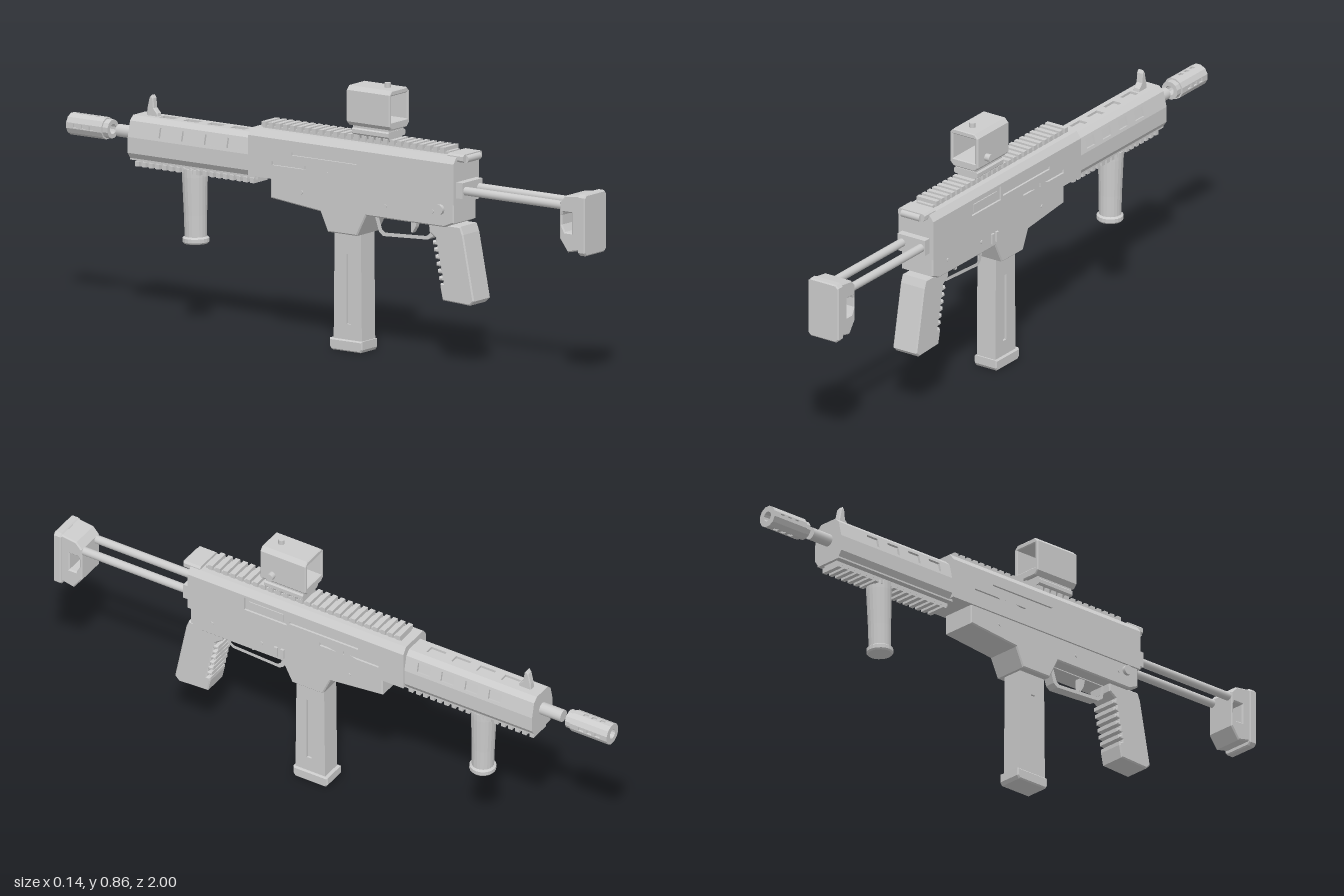
import * as THREE from 'three';

const mat = new THREE.MeshStandardMaterial({ color: 0xcccccc });

export function createModel() {
  const root = new THREE.Group();

  const add = (name, geo, parent = root) => {
    const m = new THREE.Mesh(geo, mat);
    m.name = name;
    parent.add(m);
    return m;
  };
  const group = (name) => {
    const g = new THREE.Group();
    g.name = name;
    root.add(g);
    return g;
  };
  const box = (name, x0, x1, y0, y1, z0, z1, parent) =>
    add(name, new THREE.BoxGeometry(x1 - x0, y1 - y0, z1 - z0)
      .translate((x0 + x1) / 2, (y0 + y1) / 2, (z0 + z1) / 2), parent);
  const makeShape = (pts, holes = []) => {
    const v = (l) => l.map((p) => new THREE.Vector2(p[0], p[1]));
    const s = new THREE.Shape(v(pts));
    s.holes = holes.map((h) => new THREE.Path(v(h)));
    return s;
  };
  const rect = (a0, a1, b0, b1) => [[a0, b0], [a1, b0], [a1, b1], [a0, b1]];
  const extrude = (pts, holes, depth, bevel = 0) =>
    new THREE.ExtrudeGeometry(makeShape(pts, holes), {
      depth: depth - 2 * bevel, bevelEnabled: bevel > 0, bevelSize: bevel,
      bevelThickness: bevel, bevelOffset: -bevel, bevelSegments: 1, curveSegments: 8,
    }).translate(0, 0, bevel);
  // Cross-section [x, y] swept from z0 to z1
  const alongZ = (pts, z0, z1, holes = [], bevel = 0) =>
    extrude(pts, holes, z1 - z0, bevel).translate(0, 0, z0);
  // Side profile [z, y] of a given width, centred on x
  const sideProfile = (pts, width, holes = [], bevel = 0) =>
    extrude(pts, holes, width, bevel).translate(0, 0, -width / 2).rotateY(-Math.PI / 2);
  const rod = (r, z0, z1, x, y, seg = 16) =>
    new THREE.CylinderGeometry(r, r, z1 - z0, seg).rotateX(Math.PI / 2).translate(x, y, (z0 + z1) / 2);
  // Symmetric section from its right half, bottom to top (counterclockwise)
  const mirrored = (half) => [...half, ...half.slice().reverse().map(([x, y]) => [-x, y])];
  const chamfered = (hx, y0, y1, c) =>
    mirrored([[hx - c, y0], [hx, y0 + c], [hx, y1 - c], [hx - c, y1]]);

  // Hollow-walled sweep: one plate per section edge, windows cut by edge index.
  // A window is [centre along edge, centre z, size along edge, size z].
  const shell = (name, pts, z0, z1, t, windows, bore = []) => {
    const g = group(name), cap = 0.01;
    const ys = pts.map((p) => p[1]);
    const hy = (Math.max(...ys) - Math.min(...ys)) / 2, cy = Math.min(...ys) + hy;
    const hx = Math.max(...pts.map((p) => p[0]));
    const inner = pts.map(([x, y]) => [x * (hx - t) / hx, cy + (y - cy) * (hy - t) / hy]);
    add(name + 'Core', alongZ(inner, z0 + cap, z1 - cap, bore), g);
    add(name + 'FrontCap', alongZ(pts, z0, z0 + cap, bore), g);
    add(name + 'RearCap', alongZ(pts, z1 - cap, z1, bore), g);
    pts.forEach((a, i) => {
      const b = pts[(i + 1) % pts.length];
      const u = new THREE.Vector3(b[0] - a[0], b[1] - a[1], 0), len = u.length();
      u.normalize();
      const w = new THREE.Vector3(0, 0, 1), n = u.clone().cross(w);
      const holes = (windows[i] || []).map(([c, z, su, sz]) =>
        rect(c - su / 2, c + su / 2, z - sz / 2, z + sz / 2));
      const geo = extrude(rect(0, len, z0 + cap, z1 - cap), holes, t).translate(0, 0, -t);
      geo.applyMatrix4(new THREE.Matrix4().makeBasis(u, w, n).setPosition(a[0], a[1], 0));
      add(name + 'Panel', geo, g);
    });
    return g;
  };

  // Upper receiver with ejection port on the +x side and grooves on both sides
  const grooves = (f) => [[f(0.565), -0.02, 0.012, 0.09], [f(0.565), -0.125, 0.012, 0.13], [f(0.603), 0.01, 0.01, 0.25]];
  const up = (y) => y - 0.515, down = (y) => 0.643 - y;
  shell('upperReceiver', mirrored([[0.066, 0.515], [0.066, 0.643], [0.05, 0.664]]), -0.28, 0.505, 0.007, {
    0: [[up(0.612), 0.222, 0.046, 0.155], ...grooves(up)],
    4: grooves(down),
  });
  box('bolt', 0.04, 0.062, 0.596, 0.622, 0.16, 0.285);

  // Lower receiver with magazine well
  add('lowerReceiver', sideProfile([[0.5, 0.52], [0.5, 0.455], [0.465, 0.44], [0.165, 0.44], [0.13, 0.372],
    [0.018, 0.372], [-0.01, 0.433], [-0.2, 0.453], [-0.2, 0.52]], 0.12, [], 0.004));
  for (const z of [0.185, 0.162]) box('magazineRelease', 0.055, 0.067, 0.455, 0.488, z - 0.006, z + 0.006);
  add('selectorKnob', new THREE.CylinderGeometry(0.016, 0.016, 0.016, 16).rotateZ(Math.PI / 2).translate(-0.063, 0.495, 0.45));
  for (const x of [-0.06, 0.06]) for (const [z, y] of [[0.42, 0.485], [0.24, 0.48], [-0.08, 0.485]])
    add('receiverPin', new THREE.CylinderGeometry(0.006, 0.006, 0.006, 10).rotateZ(Math.PI / 2).translate(x, y, z));

  // Pistol grip with a notched front edge
  const front = [];
  for (let i = 0; i < 7; i++) {
    const y = 0.245 + i * 0.022, z = 0.437 - (y - 0.245) * 0.22;
    front.push([z, y], [z, y + 0.012], [z + 0.012, y + 0.013], [z + 0.012, y + 0.021]);
  }
  add('pistolGrip', sideProfile([[0.55, 0.2], [0.446, 0.205], ...front, [0.395, 0.415], [0.393, 0.445],
    [0.515, 0.445], [0.525, 0.42], [0.566, 0.215]], 0.09, [], 0.004));

  // Trigger and guard
  add('triggerGuard', sideProfile(
    [[0.4, 0.445], [0.39, 0.395], [0.37, 0.383], [0.2, 0.374], [0.185, 0.385], [0.165, 0.445]], 0.035,
    [[[0.385, 0.437], [0.378, 0.402], [0.365, 0.394], [0.208, 0.386], [0.197, 0.394], [0.182, 0.437]]]));
  add('trigger', sideProfile([[0.325, 0.445], [0.318, 0.415], [0.305, 0.395], [0.3, 0.398], [0.302, 0.445]], 0.018));

  // Magazine with a recessed slot in each side
  const slot = rect(0.073, 0.091, 0.085, 0.305);
  const magProfile = [[0.128, 0.4], [0.132, 0.03], [0.024, 0.03], [0.028, 0.4]];
  const mag = group('magazine');
  add('magazineBody', sideProfile(magProfile, 0.056), mag);
  for (const s of [-1, 1])
    add('magazineSide', sideProfile(magProfile, 0.01, [slot]).translate(s * 0.03, 0, 0), mag);
  add('magazineBase', sideProfile([[0.13, 0], [0.137, 0.01], [0.137, 0.036], [0.012, 0.036], [0.012, 0.01], [0.02, 0]],
    0.084, [], 0.004), mag);

  // Handguard with windows in its top and upper side faces
  const row = (c, s) => [-0.347, -0.433, -0.52, -0.606].map((z) => [c, z, s, 0.046]);
  shell('handguard', mirrored([[0.045, 0.508], [0.06, 0.53], [0.06, 0.58], [0.048, 0.63], [0.032, 0.645]]),
    -0.745, -0.28, 0.008, {
      2: row(0.0257, 0.032), 6: row(0.0257, 0.032),
      4: [-0.36, -0.45, -0.54, -0.63].map((z) => [0.032, z, 0.03, 0.055]),
    });

  // Toothed rails above the receiver and below the handguard
  const rail = (name, y, dir, z0, z1, hx, count) => {
    const g = group(name), step = (z1 - z0) / count;
    const ya = Math.min(y, y + dir * 0.013), yb = ya + 0.013;
    box(name + 'Base', -hx + 0.008, hx - 0.008, ya, yb, z0, z1, g);
    for (let i = 0; i < count; i++) {
      const z = z0 + i * step, tooth = y + dir * 0.009, tip = y + dir * 0.025;
      box(name + 'Tooth', -hx, hx, Math.min(tooth, tip), Math.max(tooth, tip), z, z + step * 0.58, g);
    }
  };
  rail('topRail', 0.66, 1, -0.25, 0.46, 0.038, 26);
  rail('lowerRail', 0.51, -1, -0.735, -0.27, 0.036, 18);
  box('lowerRailPlate', -0.048, 0.048, 0.507, 0.522, -0.745, -0.268);

  // Rear sight block and front sight blade
  add('rearSight', alongZ(chamfered(0.05, 0.648, 0.673, 0.006), 0.47, 0.53));
  add('rearSightPin', new THREE.CylinderGeometry(0.012, 0.012, 0.07, 12).rotateZ(Math.PI / 2).translate(0, 0.658, 0.528));
  add('frontSight', sideProfile([[-0.665, 0.64], [-0.668, 0.655], [-0.682, 0.67], [-0.685, 0.7], [-0.692, 0.71],
    [-0.7, 0.7], [-0.708, 0.665], [-0.71, 0.64]], 0.022, [], 0.003));

  // Open box sight on its clamp
  const sight = group('opticSight');
  add('sightHood', alongZ(chamfered(0.053, 0.715, 0.84, 0.013), 0.085, 0.25, [rect(-0.041, 0.041, 0.741, 0.823)], 0.003), sight);
  box('sightNeck', -0.038, 0.038, 0.705, 0.718, 0.1, 0.238, sight);
  add('sightClamp', alongZ(chamfered(0.044, 0.688, 0.708, 0.004), 0.1, 0.24), sight);
  add('sightFoot', alongZ(mirrored([[0.025, 0.67], [0.036, 0.69]]), 0.105, 0.235), sight);
  add('topKnob', new THREE.CylinderGeometry(0.01, 0.01, 0.02, 12).translate(0, 0.845, 0.205), sight);
  add('sideKnob', new THREE.CylinderGeometry(0.012, 0.012, 0.022, 12).rotateZ(Math.PI / 2).translate(0.06, 0.752, 0.205), sight);

  // Foregrip
  const gripLine = [[0, 0], [0.038, 0], [0.042, 0.005], [0.042, 0.017], [0.035, 0.022], [0.036, 0.09],
    [0.04, 0.21], [0.04, 0.235], [0, 0.235]].map((p) => new THREE.Vector2(...p));
  const foregrip = add('foregrip', new THREE.LatheGeometry(gripLine, 20).toNonIndexed());
  foregrip.geometry.computeVertexNormals();
  foregrip.position.set(0, 0.263, -0.528);
  foregrip.rotation.x = -0.02;

  // Barrel and ported muzzle
  add('barrel', rod(0.02, -0.822, -0.73, 0, 0.582));
  const ring = (r, n) => Array.from({ length: n }, (_, i) => {
    const a = (i + 0.5) * 2 * Math.PI / n;
    return [r * Math.cos(a), 0.583 + r * Math.sin(a)];
  });
  const ports = [-0.965, -0.935, -0.905].map((z) => [0.009, z, 0.012, 0.017]);
  shell('muzzle', ring(0.035, 12), -1, -0.865, 0.006, { 2: ports, 5: ports, 8: ports, 11: ports }, [ring(0.016, 12)]);
  add('muzzleCollar', alongZ(ring(0.03, 12), -0.866, -0.845, [ring(0.016, 12)]));

  // Sliding stock: mount, twin rods, frame and butt pad
  box('stockMount', -0.052, 0.052, 0.535, 0.585, 0.495, 0.53);
  for (const s of [-1, 1]) add('stockRod', rod(0.0135, 0.5, 0.92, s * 0.036, 0.558));
  add('stockFrame', sideProfile([[0.978, 0.6], [0.92, 0.592], [0.9, 0.57], [0.9, 0.455], [0.93, 0.415], [0.978, 0.425]],
    0.104, [[[0.945, 0.54], [0.912, 0.54], [0.908, 0.53], [0.908, 0.5], [0.92, 0.478], [0.945, 0.478]]], 0.004));
  add('buttPad', alongZ(chamfered(0.058, 0.41, 0.604, 0.01), 0.972, 1, [], 0.004));

  return root;
}
